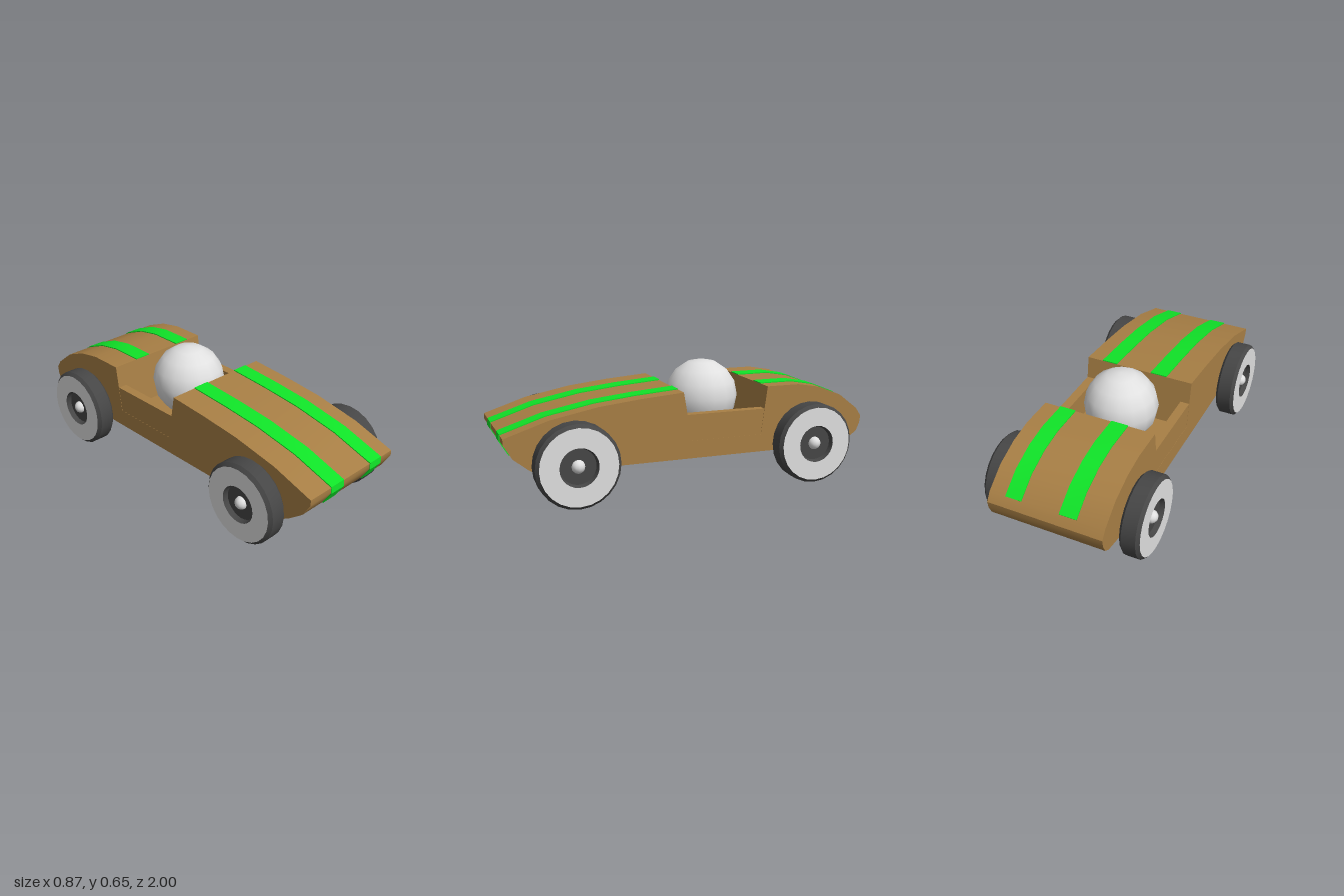
import * as THREE from 'three';
import { toCreasedNormals } from 'three/addons/utils/BufferGeometryUtils.js';

const paint = (name, color) => {
  const m = new THREE.MeshStandardMaterial({ color });
  m.name = name;
  return m;
};

export function createModel() {
  const wood = paint('wood', 0xa87f45);
  const green = paint('stripe green', 0x10e428);
  const rubber = paint('dark rubber', 0x464646);
  const light = paint('light grey', 0xe0e0e0);

  const car = new THREE.Group();
  car.name = 'car';
  const add = (parent, name, geometry, material, x = 0, y = 0, z = 0) => {
    const mesh = new THREE.Mesh(geometry, material);
    mesh.name = name;
    mesh.position.set(x, y, z);
    parent.add(mesh);
    return mesh;
  };

  // Side outlines are lists of [z, y], extruded across the car's width
  const across = (points, width) => {
    const shape = new THREE.Shape(points.map(([z, y]) => new THREE.Vector2(z, y)));
    const g = new THREE.ExtrudeGeometry(shape, { depth: width, bevelEnabled: false });
    g.translate(0, 0, -width / 2).rotateY(-Math.PI / 2);
    return toCreasedNormals(g, 0.6);
  };

  // Body with the cockpit notch
  const bonnet = [[1, 0.335], [1, 0.365], [0.77, 0.44], [0.52, 0.488], [0.3, 0.512], [0.065, 0.53]];
  const deck = [[-0.415, 0.53], [-0.6, 0.53], [-0.73, 0.507], [-0.86, 0.455], [-0.97, 0.37]];
  const body = [
    [0.84, 0.175], [0.88, 0.2], [0.955, 0.26], ...bonnet,
    [0.02, 0.27], [-0.38, 0.27],
    ...deck, [-1, 0.325], [-0.995, 0.285], [-0.975, 0.24], [-0.94, 0.215], [-0.86, 0.2], [-0.74, 0.175],
  ];
  add(car, 'body', across(body, 0.62), wood);

  // Low cockpit sides
  const wall = [[0.02, 0.27], [0.046, 0.41], [-0.398, 0.41], [-0.38, 0.27]];
  for (const side of [-1, 1]) add(car, 'cockpitSide', across(wall, 0.05), wood, side * 0.284);

  // Driver's head
  add(car, 'driverHead', new THREE.SphereGeometry(0.2, 16, 8), light, 0, 0.45, -0.157);

  // Painted stripes: thin ribbons following the body outline
  const ribbon = (path, width) => {
    const outer = path.map(([z, y], i) => {
      const a = path[Math.max(i - 1, 0)], b = path[Math.min(i + 1, path.length - 1)];
      const n = new THREE.Vector2(b[1] - a[1], a[0] - b[0]).setLength(0.005);
      return [z + n.x, y + n.y];
    });
    return across([...path, ...outer.reverse()], width);
  };
  for (const [x, width] of [[-0.117, 0.093], [0.177, 0.087]]) {
    add(car, 'frontStripe', ribbon([[0.955, 0.26], ...bonnet], width), green, x);
    add(car, 'rearStripe', ribbon(deck, width), green, x);
  }

  // Wheels: profiles are [radius, distance along the axle]
  const turned = (points) => toCreasedNormals(
    new THREE.LatheGeometry(points.map(([r, h]) => new THREE.Vector2(r, h)), 24).rotateZ(-Math.PI / 2), 0.45);
  const tyre = turned([[0, 0], [0.203, 0], [0.217, 0.014], [0.217, 0.09], [0.2, 0.107]]);
  const rim = turned([[0.2, 0.107], [0.1, 0.107]]);
  const hub = turned([[0.1, 0.107], [0.092, 0.08], [0, 0.08]]);
  const cap = new THREE.SphereGeometry(0.035, 12, 8);
  const axle = new THREE.CylinderGeometry(0.027, 0.027, 0.68, 12).rotateZ(Math.PI / 2);

  for (const z of [0.653, -0.655]) {
    add(car, 'axle', axle, light, 0, 0.222, z);
    for (const side of [-1, 1]) {
      const wheel = new THREE.Group();
      wheel.name = (z > 0 ? 'front' : 'rear') + (side > 0 ? 'LeftWheel' : 'RightWheel');
      wheel.position.set(side * 0.324, 0.22, z);
      if (side < 0) wheel.rotation.y = Math.PI;
      add(wheel, 'tyre', tyre, rubber);
      add(wheel, 'rim', rim, light);
      add(wheel, 'hub', hub, rubber);
      add(wheel, 'axleCap', cap, light, 0.078);
      car.add(wheel);
    }
  }
  return car;
}
